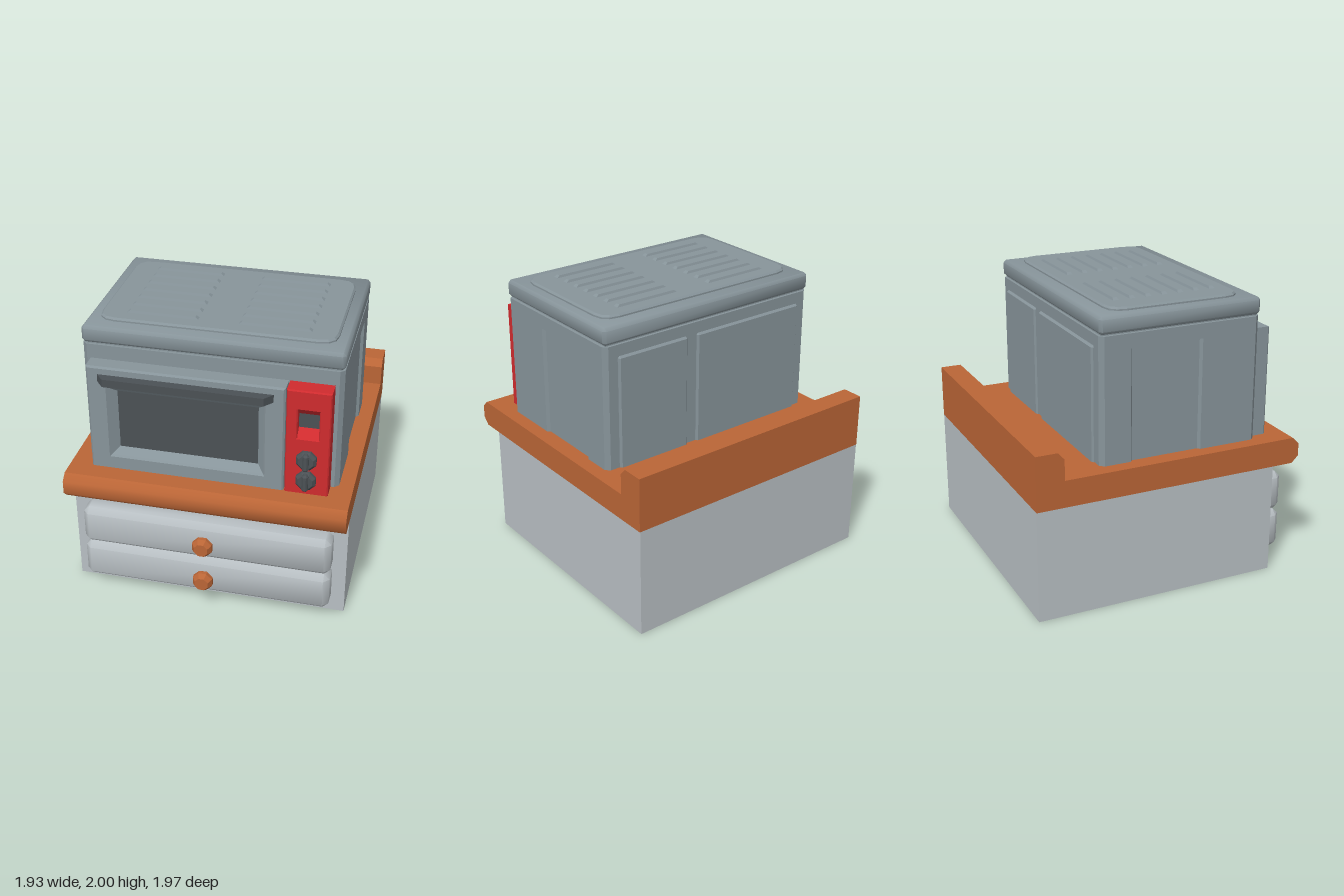
import * as THREE from 'three';
import { toCreasedNormals } from 'three/addons/utils/BufferGeometryUtils.js';
import { ConvexGeometry } from 'three/addons/geometries/ConvexGeometry.js';

const paint = (name, color) => {
  const m = new THREE.MeshStandardMaterial({ color });
  m.name = name;
  return m;
};

// Box given by its limits, with 45 degree chamfers softened by smooth normals
function chamferBox(x0, x1, y0, y1, z0, z1, b, crease = 0.9) {
  const pts = [];
  for (const [x, sx] of [[x0, 1], [x1, -1]])
    for (const [y, sy] of [[y0, 1], [y1, -1]])
      for (const [z, sz] of [[z0, 1], [z1, -1]])
        pts.push(
          new THREE.Vector3(x, y + sy * b, z + sz * b),
          new THREE.Vector3(x + sx * b, y, z + sz * b),
          new THREE.Vector3(x + sx * b, y + sy * b, z));
  return toCreasedNormals(new ConvexGeometry(pts), crease);
}

const polygon = (pts) => new THREE.Shape(pts.map(([x, y]) => new THREE.Vector2(x, y)));
const rect = ([x0, x1, y0, y1]) => [[x0, y0], [x1, y0], [x1, y1], [x0, y1]];

// Outline drawn as [z, y], extruded along x
function acrossX(pts, half) {
  const g = new THREE.ExtrudeGeometry(polygon(pts.map(([z, y]) => [-z, y])),
    { depth: 2 * half, bevelEnabled: false });
  return g.rotateY(Math.PI / 2).translate(-half, 0, 0);
}

// Outline drawn as [x, z], extruded upwards from y0
function upwards(pts, y0, y1) {
  const g = new THREE.ExtrudeGeometry(polygon(pts.map(([x, z]) => [x, -z])),
    { depth: y1 - y0, bevelEnabled: false });
  return g.rotateX(-Math.PI / 2).translate(0, y0, 0);
}

// Front plate with a bevelled edge and one rectangular opening
function framePlate(outer, hole, z0, z1, b) {
  const shape = polygon(rect(outer));
  shape.holes.push(polygon(rect(hole)));
  return new THREE.ExtrudeGeometry(shape, {
    depth: z1 - z0 - 2 * b, bevelThickness: b, bevelSize: b, bevelOffset: -b, bevelSegments: 1,
  }).translate(0, 0, z0 + b);
}

// Four sloping walls from an outer rectangle back to an inner one
function slopedWalls(outer, inner, zFront, zBack) {
  const o = rect(outer), n = rect(inner), pos = [];
  for (let k = 0; k < 4; k++) {
    const j = (k + 1) % 4;
    const a = [...o[k], zFront], b = [...o[j], zFront], c = [...n[j], zBack], d = [...n[k], zBack];
    pos.push(...a, ...b, ...c, ...a, ...c, ...d);
  }
  const g = new THREE.BufferGeometry();
  g.setAttribute('position', new THREE.Float32BufferAttribute(pos, 3));
  g.computeVertexNormals();
  return g;
}

// Flat pane filling a rectangle
const pane = ([x0, x1, y0, y1], z) =>
  new THREE.PlaneGeometry(x1 - x0, y1 - y0).translate((x0 + x1) / 2, (y0 + y1) / 2, z);

// Turned part with eight sides, axis along z, profile as [radius, z]
function turned(profile) {
  const g = new THREE.LatheGeometry(profile.map(([r, z]) => new THREE.Vector2(r, z)), 8, Math.PI / 8);
  return toCreasedNormals(g.rotateX(Math.PI / 2), 0.5);
}

export function createModel() {
  const model = new THREE.Group();
  model.name = 'ovenOnCabinet';
  const cabinetGrey = paint('cabinet grey', 0xb8bfc3);
  const ovenGrey = paint('oven steel', 0x87949a);
  const wood = paint('orange wood', 0xba6536);
  const red = paint('red enamel', 0xcf2b2e);
  const dark = paint('dark grey', 0x4b5155);
  const add = (name, geometry, material, parent = model) => {
    const mesh = new THREE.Mesh(geometry, material);
    mesh.name = name;
    parent.add(mesh);
    return mesh;
  };
  const group = (name) => {
    const g = new THREE.Group();
    g.name = name;
    model.add(g);
    return g;
  };

  // Cabinet with two drawers
  add('cabinet', new THREE.BoxGeometry(1.92, 0.78, 1.735).translate(0, 0.39, -0.1175), cabinetGrey);
  for (const y of [0.1, 0.39]) {
    const drawer = group('drawer');
    add('drawerFront', chamferBox(-0.865, 0.865, y, y + 0.285, 0.7, 0.895, 0.04), cabinetGrey, drawer);
    add('drawerKnob', turned([[0.045, 0.88], [0.05, 0.9], [0.073, 0.925], [0.073, 0.95], [0.05, 0.985], [0, 0.985]]),
      wood, drawer).position.y = y + 0.142;
  }

  // Worktop with raised back edge and soft front nosing
  add('worktop', acrossX([[-0.985, 0.78], [0.9, 0.78], [0.9, 0.965], [-0.79, 0.965],
    [-0.79, 1.11], [-0.835, 1.16], [-0.985, 1.16]], 0.963), wood);
  add('worktopNosing', toCreasedNormals(acrossX([[0.9, 0.78], [0.948, 0.828], [0.948, 0.917], [0.9, 0.965]], 0.963), 0.9), wood);

  // Oven body: plan outline with a shallow panel recess on both sides
  const plan = (recessed) => {
    const side = [[0.835, 0.655], [0.865, 0.625]];
    if (recessed) side.push([0.865, 0.23], [0.845, 0.215], [0.845, -0.27], [0.865, -0.285]);
    side.push([0.865, -0.47], [0.835, -0.5]);
    return [...side, ...side.map(([x, z]) => [-x, z]).reverse()];
  };
  const oven = group('ovenBody');
  add('ovenWalls', upwards(plan(true), 0.95, 1.735), ovenGrey, oven);
  add('ovenUpperWalls', upwards(plan(false), 1.735, 1.835), ovenGrey, oven);
  add('lidSeam', new THREE.BoxGeometry(1.69, 0.05, 1.12).translate(0, 1.84, 0.078), ovenGrey, oven);
  add('lid', chamferBox(-0.867, 0.867, 1.843, 1.962, -0.503, 0.658, 0.02), ovenGrey, oven);
  for (const [x0, x1] of [[-0.77, 0.13], [0.21, 0.765]])
    add('backPanel', chamferBox(x0, x1, 0.93, 1.755, -0.517, -0.46, 0.012, 0.1), ovenGrey, oven);

  // Raised plate with rounded corners on the lid
  const plate = new THREE.Shape();
  const w = 0.79, zf = 0.55, zb = -0.395, r = 0.12;
  plate.moveTo(-w + r, -zf);
  plate.lineTo(w - r, -zf).quadraticCurveTo(w, -zf, w, -zf + r);
  plate.lineTo(w, -zb - r).quadraticCurveTo(w, -zb, w - r, -zb);
  plate.lineTo(-w + r, -zb).quadraticCurveTo(-w, -zb, -w, -zb - r);
  plate.lineTo(-w, -zf + r).quadraticCurveTo(-w, -zf, -w + r, -zf);
  const plateGeo = new THREE.ExtrudeGeometry(plate, {
    depth: 0.02, curveSegments: 3, bevelThickness: 0.012, bevelSize: 0.012, bevelOffset: -0.012, bevelSegments: 1,
  });
  add('lidPlate', plateGeo.rotateX(-Math.PI / 2).translate(0, 1.953, 0), ovenGrey, oven);

  // Two columns of vent louvres, narrowing towards the top
  const louvre = new THREE.BoxGeometry(0.52, 0.03, 0.056);
  const p = louvre.attributes.position;
  for (let i = 0; i < p.count; i++)
    if (p.getY(i) > 0) p.setXYZ(i, p.getX(i) * 0.85, p.getY(i), p.getZ(i) * 0.5);
  louvre.computeVertexNormals();
  for (const x of [-0.375, 0.375])
    for (let k = 0; k < 7; k++)
      add('ventLouvre', louvre, ovenGrey, oven).position.set(x, 1.985, -0.275 + k * 0.117);

  // Door with sunken window and handle
  const door = group('door');
  const windowRim = [-0.668, 0.373, 1.067, 1.583], glass = [-0.62, 0.33, 1.11, 1.54];
  add('doorFrame', framePlate([-0.81, 0.513, 0.93, 1.735], windowRim, 0.63, 0.77, 0.012), ovenGrey, door);
  add('windowSlopes', slopedWalls(windowRim, glass, 0.758, 0.71), ovenGrey, door);
  add('windowGlass', pane(glass, 0.71), dark, door);
  add('doorHandle', upwards([[-0.737, 0.765], [-0.68, 0.833], [0.385, 0.833], [0.442, 0.765]], 1.627, 1.682), dark, door);

  // Control panel with sunken display and two dials
  const controls = group('controlPanel');
  const slot = [0.595, 0.735, 1.385, 1.592], display = [0.595, 0.735, 1.438, 1.54];
  add('panel', framePlate([0.52, 0.81, 0.93, 1.735], slot, 0.63, 0.773, 0.008), red, controls);
  add('displaySlopes', slopedWalls(slot, display, 0.765, 0.715), red, controls);
  add('display', pane(display, 0.715), dark, controls);
  for (const y of [1.24, 1.085]) {
    const dial = add('dial', turned([[0.055, 0.765], [0.071, 0.785], [0.071, 0.805], [0.052, 0.825], [0, 0.825]]), dark, controls);
    dial.position.set(0.665, y, 0);
    add('dialGrip', chamferBox(-0.021, 0.021, -0.062, 0.062, 0.78, 0.847, 0.012, 0.1), dark, dial);
  }
  return model;
}
